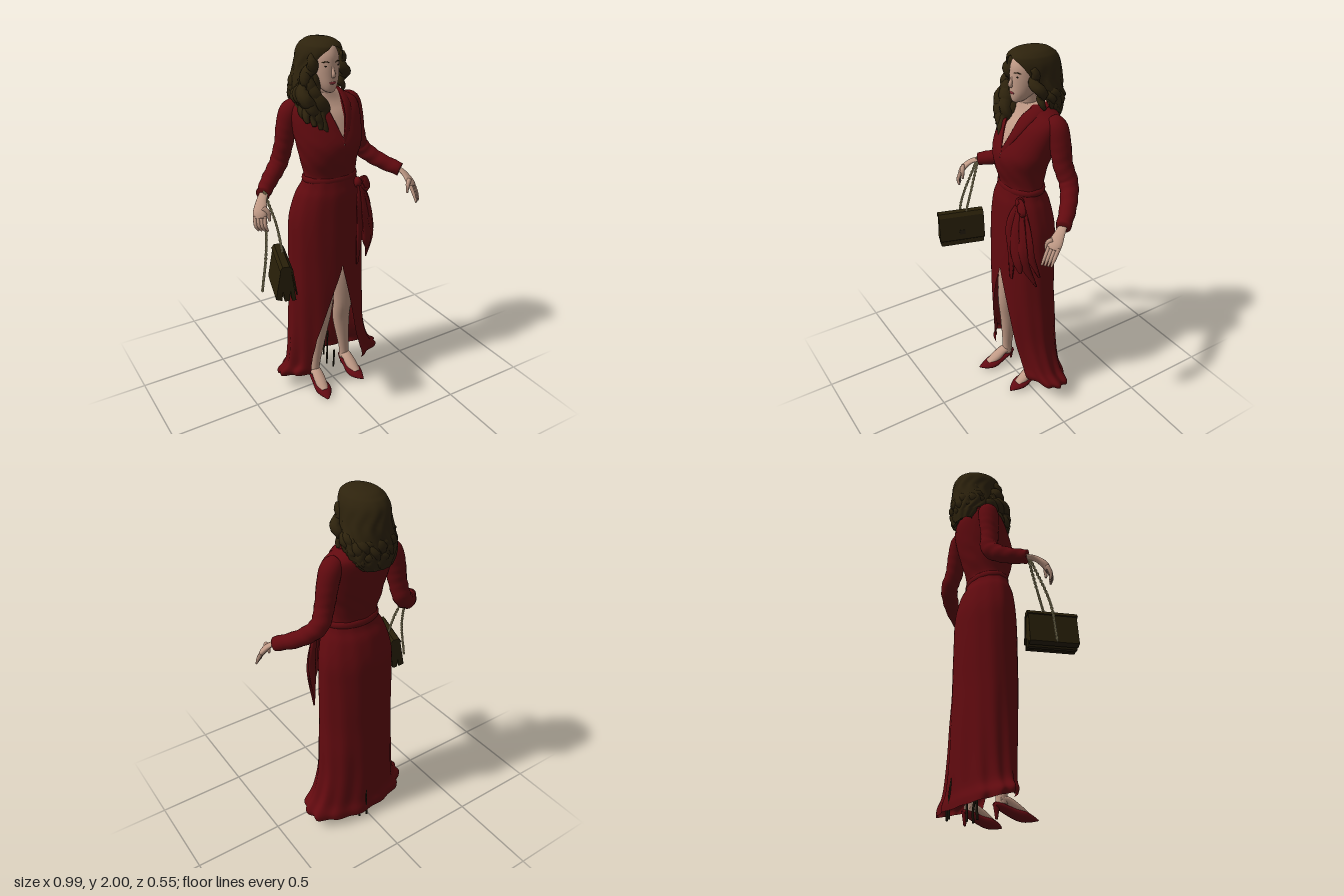
import * as THREE from 'three';
import { mergeGeometries } from 'three/addons/utils/BufferGeometryUtils.js';

const mat = (name, color, side = THREE.FrontSide) => {
  const m = new THREE.MeshStandardMaterial({ color, side });
  m.name = name;
  return m;
};
const V = (a) => new THREE.Vector3(a[0], a[1], a[2]);
const clamp = THREE.MathUtils.clamp;

// Smoothly resample a table of rows (trailing slit columns stay linear)
function sample(rows, t, smoothCols = 5) {
  const f = t * (rows.length - 1), i = Math.min(Math.floor(f), rows.length - 2), u = f - i;
  const at = (k) => rows[clamp(k, 0, rows.length - 1)];
  return rows[i].map((b, c) => {
    const d = rows[i + 1][c];
    if (c >= smoothCols) return b + (d - b) * u;
    const p = at(i - 1)[c], q = at(i + 2)[c];
    return 0.5 * (2 * b + (d - p) * u + (2 * p - 5 * b + 4 * d - q) * u * u + (3 * b - p - 3 * d + q) * u ** 3);
  });
}

// Skin a stack of rings; closed rings wrap around and get end caps
function loft(rings, closed = true) {
  const n = rings[0].length, pos = [], idx = [];
  rings.forEach((r) => r.forEach((p) => pos.push(p.x, p.y, p.z)));
  for (let i = 0; i < rings.length - 1; i++)
    for (let j = 0; j < (closed ? n : n - 1); j++) {
      const a = i * n + j, b = i * n + (j + 1) % n;
      idx.push(a, b, a + n, b, b + n, a + n);
    }
  if (closed) [0, rings.length - 1].forEach((i) => {
    const c = rings[i].reduce((s, p) => s.add(p), new THREE.Vector3()).divideScalar(n), k = pos.length / 3;
    pos.push(c.x, c.y, c.z);
    for (let j = 0; j < n; j++) {
      const a = i * n + j, b = i * n + (j + 1) % n;
      i ? idx.push(a, b, k) : idx.push(b, a, k);
    }
  });
  const g = new THREE.BufferGeometry();
  g.setAttribute('position', new THREE.Float32BufferAttribute(pos, 3));
  g.setIndex(idx);
  g.computeVertexNormals();
  return g;
}

// Elliptical shell, rows bottom to top: y, cx, cz, rx, rz, slit left x, slit right x
function shell(rows, { n = 64, steps = 40, wave = () => 0, lift = () => 0 } = {}) {
  const open = rows[0].length > 5, rings = [];
  for (let i = 0; i <= steps; i++) {
    const [y, cx, cz, rx, rz, xl, xr] = sample(rows, i / steps);
    const ang = (x) => Math.asin(clamp((x - cx) / rx, -1, 1));
    const a = open ? ang(xr) : 0, b = (open ? ang(xl) : 0) + Math.PI * 2, ring = [];
    for (let j = 0; j < (open ? n + 1 : n); j++) {
      const th = a + (b - a) * j / n, k = 1 + wave(th, y);
      ring.push(new THREE.Vector3(cx + rx * k * Math.sin(th), y + lift(th, y), cz + rz * k * Math.cos(th)));
    }
    rings.push(ring);
  }
  return loft(rings, !open);
}

// Tapered tube through [x, y, z, radius]; flat squashes it along ref
function limb(pts, { n = 14, steps = 20, flat = 1, ref = [0, 0, 1], wave = () => 0 } = {}) {
  const r = V(ref).normalize(), rings = [];
  for (let i = 0; i <= steps; i++) {
    const t = i / steps, c = sample(pts, t, 4);
    const tan = V(sample(pts, Math.min(1, t + 0.01), 4)).sub(V(sample(pts, Math.max(0, t - 0.01), 4))).normalize();
    const u = tan.clone().cross(r).normalize(), v = tan.clone().cross(u), ring = [];
    for (let j = 0; j < n; j++) {
      const a = j / n * Math.PI * 2, k = Math.max(c[3], 0.001) * (1 + wave(t, a));
      ring.push(V(c).addScaledVector(u, Math.cos(a) * k).addScaledVector(v, Math.sin(a) * k * flat));
    }
    rings.push(ring);
  }
  return loft(rings);
}

export function createModel() {
  const root = new THREE.Group();
  root.name = 'womanInWrapDress';
  const dress = mat('deep red cloth', 0x610a0f, THREE.DoubleSide), skin = mat('skin', 0xc09a86);
  const hair = mat('dark brown hair', 0x2e230d, THREE.DoubleSide), leather = mat('dark leather', 0x281f08);
  const metal = mat('pale gold', 0xb0a478), shoeRed = mat('shoe red', 0x620a12);
  const lipRed = mat('lip red', 0x823036), dark = mat('dark cord', 0x1f190c);
  const add = (name, geo, m) => {
    const mesh = new THREE.Mesh(geo, m);
    mesh.name = name;
    root.add(mesh);
    return mesh;
  };
  const ball = (name, m, p, s) => {
    const b = add(name, new THREE.SphereGeometry(1, 20, 14), m);
    b.position.set(...p);
    b.scale.set(...s);
  };

  // Skirt with front slit, folds deepening towards a flared hem that lifts at the front
  add('skirt', shell([
    [0.055, 0.015, -0.085, 0.322, 0.142, -0.17, 0.175], [0.09, 0.015, -0.08, 0.325, 0.145, -0.17, 0.175],
    [0.14, 0.01, -0.07, 0.28, 0.145, -0.168, 0.163], [0.22, 0, -0.065, 0.256, 0.148, -0.163, 0.14],
    [0.35, -0.01, -0.06, 0.238, 0.152, -0.143, 0.105], [0.5, -0.012, -0.055, 0.229, 0.155, -0.1, 0.075],
    [0.65, -0.015, -0.05, 0.222, 0.155, -0.055, 0.04], [0.8, -0.015, -0.05, 0.219, 0.155, 0, 0],
    [0.95, -0.015, -0.05, 0.217, 0.153, 0, 0], [1.08, -0.013, -0.05, 0.212, 0.148, 0, 0],
    [1.2, -0.008, -0.04, 0.185, 0.132, 0, 0], [1.26, -0.003, -0.032, 0.16, 0.112, 0, 0], [1.31, 0, -0.03, 0.144, 0.1, 0, 0]], {
    n: 110, steps: 66,
    wave: (a, y) => (0.006 + 0.05 * Math.max(0, 0.7 - y) ** 1.5) * (Math.sin(a * 13 + y * 3) + 0.6 * Math.sin(a * 7 - y * 5)),
    lift: (a, y) => (0.025 + 0.035 * Math.cos(a) - 0.03 * Math.max(0, Math.cos(a)) ** 6) * clamp((0.3 - y) / 0.25, 0, 1),
  }), dress);

  // Bodice with plunging neckline over the chest
  const bodice = [
    [1.26, 0, -0.032, 0.155, 0.107, 0.01, 0.01], [1.32, 0, -0.03, 0.146, 0.102, 0.01, 0.01],
    [1.4, -0.005, -0.03, 0.16, 0.125, 0.01, 0.01], [1.47, 0, -0.035, 0.177, 0.138, 0.01, 0.01],
    [1.53, 0, -0.05, 0.188, 0.137, 0.01, 0.012], [1.62, 0, -0.08, 0.198, 0.122, -0.03, 0.042],
    [1.67, 0, -0.1, 0.19, 0.102, -0.046, 0.052], [1.7, 0, -0.105, 0.145, 0.088, -0.052, 0.058],
    [1.735, -0.005, -0.1, 0.08, 0.07, -0.055, 0.06]];
  add('bodice', shell(bodice, { n: 90, wave: (a, y) => 0.009 * Math.sin(a * 9 + y * 60) * clamp((1.6 - y) * 5, 0, 1) }), dress);
  add('chest', shell(bodice.slice(3).map(([y, cx, cz, rx, rz]) => [y, cx, cz, rx * 0.93, rz * 0.95])), skin);
  for (const s of [-1, 1])
    add('lapel', limb([[0.01, 1.5, 0.098, 0.008], [s * 0.05 + 0.01, 1.6, 0.052, 0.022], [s * 0.08 + 0.003, 1.68, -0.005, 0.032],
      [s * 0.09, 1.725, -0.09, 0.026], [s * 0.05, 1.73, -0.165, 0.02]], { flat: 0.25, ref: [s * 0.4, 0.5, 0.8] }), dress);

  // Waist sash, small bow and hanging tails
  const sash = add('waistSash', new THREE.TorusGeometry(1, 0.14, 10, 48), dress);
  sash.rotation.x = Math.PI / 2;
  sash.position.set(0, 1.295, -0.032);
  sash.scale.set(0.137, 0.095, 0.16);
  ball('bowKnot', dress, [0.12, 1.255, 0.055], [0.022, 0.03, 0.025]);
  const ribbons = [
    [[0.12, 1.26, 0.06, 0.01], [0.15, 1.27, 0.068, 0.022], [0.17, 1.22, 0.075, 0.022], [0.13, 1.24, 0.065, 0.008]],
    [[0.12, 1.25, 0.065, 0.012], [0.1, 1.14, 0.102, 0.02], [0.11, 1.0, 0.1, 0.026], [0.1, 0.79, 0.095, 0.008]],
    [[0.13, 1.25, 0.065, 0.014], [0.14, 1.1, 0.095, 0.024], [0.16, 0.95, 0.095, 0.036], [0.17, 0.86, 0.085, 0.01]],
    [[0.135, 1.25, 0.06, 0.014], [0.175, 1.1, 0.075, 0.024], [0.185, 0.95, 0.08, 0.036], [0.215, 0.77, 0.01, 0.006]],
    [[0.14, 1.25, 0.055, 0.014], [0.185, 1.12, 0.05, 0.024], [0.2, 0.98, 0.045, 0.028], [0.22, 0.83, -0.005, 0.008]]];
  ribbons.forEach((p) => add('sashRibbon', limb(p, { flat: 0.4, ref: [0.4, 0, 1], wave: (t, a) => 0.15 * Math.sin(a * 5 + t * 8) }), dress));

  // Arms: sleeve, palm and fingers
  const arms = [
    { s: -1, sleeve: [[-0.14, 1.66, -0.115, 0.045], [-0.178, 1.64, -0.12, 0.055], [-0.2, 1.56, -0.125, 0.054], [-0.215, 1.47, -0.13, 0.049],
      [-0.243, 1.37, -0.14, 0.048], [-0.32, 1.305, -0.095, 0.043], [-0.4, 1.275, -0.01, 0.036]],
      palm: [[-0.39, 1.278, -0.015, 0.022], [-0.425, 1.26, 0.025, 0.026], [-0.452, 1.22, 0.062, 0.036], [-0.46, 1.19, 0.077, 0.032]],
      finger: [[-0.006, -0.032, 0.012], [0.008, -0.064, 0.012]] },
    { s: 1, sleeve: [[0.14, 1.66, -0.115, 0.045], [0.178, 1.64, -0.12, 0.055], [0.203, 1.56, -0.125, 0.054], [0.225, 1.46, -0.13, 0.05],
      [0.265, 1.37, -0.14, 0.048], [0.34, 1.3, -0.085, 0.043], [0.43, 1.25, 0.01, 0.037]],
      palm: [[0.42, 1.257, 0.003, 0.022], [0.44, 1.235, 0.035, 0.026], [0.455, 1.195, 0.072, 0.036], [0.46, 1.17, 0.088, 0.032]],
      finger: [[0.006, -0.035, 0.022], [0.008, -0.075, 0.042]] }];
  for (const { s, sleeve, palm, finger } of arms) {
    add('sleeve', limb(sleeve, { n: 20, steps: 48, ref: [0.3 * s, 0.2, 1], wave: (t, a) => 0.04 * Math.sin(t * 70 + Math.sin(a) * 3) * clamp(t * 2 - 0.4, 0, 1) }), dress);
    const k = V(palm[3]), spread = new THREE.Vector3(-0.8 * s, 0, 0.6);
    const n = k.clone().sub(V(palm[1])).cross(spread).toArray();
    add('palm', limb(palm, { flat: 0.45, ref: n }), skin);
    for (let i = 0; i < 4; i++) {
      const b = k.clone().addScaledVector(spread, (i - 1.5) * 0.016);
      const pt = (o, r) => [...b.clone().add(V(o)).toArray(), r];
      add('finger', limb([pt([0, 0.01, -0.005], 0.011), pt(finger[0], 0.0095), pt(finger[1], 0.005)], { n: 8, steps: 8, ref: n }), skin);
    }
    const h = V(palm[2]), th = (d, y, r) => [h.x + spread.x * d, h.y + y, h.z + spread.z * d, r];
    add('thumb', limb([th(0.015, 0.02, 0.013), th(0.04, -0.005, 0.012), th(0.045, -0.05, 0.006)], { n: 8, steps: 8, ref: n }), skin);
  }

  // Legs, feet and heeled shoes
  for (const s of [-1, 1]) {
    const dz = s > 0 ? -0.05 : 0, X = (x) => s * x;
    add('leg', limb([[X(0.075), 0.95, -0.04, 0.07], [X(0.058), 0.75, -0.005, 0.07], [X(0.073), 0.53, 0.015 + dz / 2, 0.053], [X(0.09), 0.37, -0.005 + dz, 0.05],
      [X(0.113), 0.15, -0.01 + dz, 0.03], [X(0.118), 0.07, -0.01 + dz, 0.03]], { steps: 28, n: 18 }), skin);
    add('foot', limb([[X(0.117), 0.09, -0.025 + dz, 0.028], [X(0.119), 0.088, 0.015 + dz, 0.031], [X(0.122), 0.054, 0.07 + dz, 0.034], [X(0.126), 0.025, 0.12 + dz, 0.025]],
      { flat: 0.75, ref: [0, 1, 0] }), skin);
    add('shoe', limb([[X(0.117), 0.07, -0.05 + dz, 0.018], [X(0.118), 0.062, -0.02 + dz, 0.031], [X(0.12), 0.04, 0.035 + dz, 0.038], [X(0.122), 0.024, 0.095 + dz, 0.047],
      [X(0.128), 0.016, 0.14 + dz, 0.032], [X(0.137), 0.009, 0.178 + dz, 0.005]], { flat: 0.55, ref: [0, 1, 0] }), shoeRed);
    const heel = add('shoeHeel', new THREE.CylinderGeometry(0.017, 0.006, 0.07, 12), shoeRed);
    heel.position.set(X(0.117), 0.035, -0.038 + dz);
  }
  // Dark cords hanging inside the skirt
  [[-0.04, -0.1, 0.25], [0.015, -0.22, 0.2], [0.03, -0.12, 0.25], [0.05, -0.075, 0.13], [0.06, -0.21, 0.16]].forEach(([x, z, h]) => {
    add('hangingCord', limb([[x, 0.005, z, 0.006], [x + 0.004, h / 2, z, 0.006], [x, h, z + 0.01, 0.006]], { n: 6, steps: 6 }), dark);
  });

  // Head, neck and face
  add('neck', limb([[0, 1.62, -0.1, 0.055], [-0.005, 1.7, -0.08, 0.045], [-0.01, 1.79, -0.065, 0.045]]), skin);
  add('head', shell([[1.738, -0.01, -0.01, 0.012, 0.014], [1.75, -0.01, -0.022, 0.032, 0.037], [1.78, -0.01, -0.043, 0.053, 0.064], [1.82, -0.01, -0.06, 0.067, 0.081],
    [1.87, -0.01, -0.07, 0.073, 0.09], [1.92, -0.01, -0.075, 0.071, 0.089], [1.96, -0.01, -0.08, 0.055, 0.07], [1.985, -0.01, -0.08, 0.02, 0.03]], { n: 32 }), skin);
  add('nose', limb([[-0.01, 1.878, 0.012, 0.005], [-0.01, 1.85, 0.021, 0.008], [-0.01, 1.83, 0.027, 0.011], [-0.01, 1.82, 0.016, 0.008]], { steps: 10 }), skin);
  ball('lips', lipRed, [-0.01, 1.79, 0.017], [0.019, 0.008, 0.007]);
  for (const s of [-1, 1]) {
    ball('eye', dark, [-0.01 + s * 0.03, 1.872, 0.008], [0.011, 0.004, 0.004]);
    add('eyebrow', limb([[-0.01 + s * 0.016, 1.889, 0.016, 0.002], [-0.01 + s * 0.032, 1.894, 0.01, 0.003], [-0.01 + s * 0.05, 1.888, -0.008, 0.002]], { n: 6, steps: 8, ref: [0, 1, 0] }), hair);
  }

  // Hair mass framing the face
  add('hairMass', shell([
    [1.63, -0.03, -0.2, 0.085, 0.045, -0.11, 0.05], [1.68, -0.025, -0.175, 0.125, 0.08, -0.15, 0.1], [1.75, -0.02, -0.145, 0.14, 0.115, -0.155, 0.115],
    [1.85, -0.015, -0.125, 0.12, 0.132, -0.105, 0.085], [1.92, -0.015, -0.11, 0.112, 0.138, -0.075, 0.06], [1.955, -0.015, -0.1, 0.1, 0.13, -0.035, 0.025],
    [1.972, -0.015, -0.095, 0.087, 0.115, -0.015, -0.015], [1.99, -0.015, -0.095, 0.058, 0.08, -0.015, -0.015], [2.0, -0.015, -0.095, 0.0002, 0.0002, -0.015, -0.015]],
    { n: 90, wave: (a, y) => 0.035 * Math.sin(a * 12 + Math.sin(y * 35) * 2) * clamp((1.98 - y) * 5, 0, 1) }), hair);
  // Wavy locks: one bundle over the right shoulder, the rest round the back
  const lock = (a, b, r, ph) => {
    const pts = [];
    for (let i = 0; i <= 8; i++) {
      const t = i / 8, w = 0.016 * Math.sin(t * Math.PI);
      const p = V(a).lerp(V(b), t);
      pts.push([p.x + w * Math.sin(t * 13 + ph), p.y, p.z + w * Math.cos(t * 13 + ph), r * (0.35 + 1.1 * Math.sin(Math.PI * Math.min(1, t * 0.85 + 0.12)))]);
    }
    add('hairLock', limb(pts, { n: 8, steps: 24, ref: [0.2, 0.1, 1], wave: (t, q) => 0.12 * Math.sin(q * 3 + t * 14) }), hair);
  };
  for (let i = 0; i < 12; i++) {
    const u = i % 4, v = Math.floor(i / 4);
    lock([-0.09 - u * 0.015, 1.84 - v * 0.03, -0.05 - v * 0.025], [-0.065 - u * 0.03, 1.555 + u * 0.018 + v * 0.015, 0.055 - v * 0.04 - u * 0.01], 0.023, i * 1.7);
  }
  for (let i = 0; i < 15; i++) {
    const a = 1.5 + i / 14 * 3.2, sx = Math.sin(a), cz = Math.cos(a);
    lock([-0.015 + 0.092 * sx, 1.88 - (i % 3) * 0.03, -0.12 + 0.106 * cz],
      [-0.02 + 0.125 * sx, 1.7 - 0.07 * Math.max(0, -cz) + (i % 3) * 0.015, -0.15 + 0.09 * cz], 0.018, i * 2.3);
  }
  lock([0.08, 1.92, -0.04], [0.115, 1.72, -0.09], 0.019, 1);
  lock([-0.085, 1.93, -0.03], [-0.15, 1.74, -0.04], 0.022, 3);

  // Handbag: pleated wedge body, flap and clasp
  const bag = new THREE.Group();
  bag.name = 'handbag';
  const part = (name, pts, len, z) => {
    const g = new THREE.ExtrudeGeometry(new THREE.Shape(pts.map((p) => new THREE.Vector2(...p))), { depth: len, bevelEnabled: false });
    const m = new THREE.Mesh(g.translate(0, 0, z), leather);
    m.name = name;
    bag.add(m);
  };
  part('bagBody', [[-0.055, 0.015], [-0.025, 0.005], [-0.018, 0.06], [-0.012, 0], [0.012, 0], [0.018, 0.06], [0.025, 0], [0.046, 0], [0.024, 0.18], [-0.026, 0.18]], 0.25, -0.125);
  part('bagFlap', [[0.048, 0.03], [0.053, 0.035], [0.033, 0.175], [0.016, 0.195], [-0.018, 0.195], [-0.032, 0.175], [-0.025, 0.17], [0.025, 0.17]], 0.26, -0.13);
  const clasp = new THREE.Mesh(new THREE.BoxGeometry(0.008, 0.026, 0.034), dark);
  clasp.name = 'bagClasp';
  clasp.position.set(0.045, 0.08, 0);
  clasp.rotation.z = 0.15;
  bag.add(clasp);
  bag.position.set(-0.38, 0.797, 0.135);
  bag.rotation.y = -0.3;
  root.add(bag);

  // Chain strap: alternating links along each strand
  [[[-0.4, 1.25, 0.015], [-0.442, 1.02, 0.09], [-0.478, 0.8, 0.1]],
    [[-0.388, 1.25, 0.01], [-0.367, 1.13, 0.06], [-0.36, 0.98, 0.11]],
    [[-0.4, 1.25, 0.015], [-0.395, 1.29, 0.0], [-0.388, 1.25, 0.01]]].forEach((p) => {
    const c = new THREE.CatmullRomCurve3(p.map(V)), count = Math.ceil(c.getLength() / 0.011), links = [];
    for (let i = 0; i <= count; i++) {
      const q = new THREE.Quaternion().setFromUnitVectors(new THREE.Vector3(0, 1, 0), c.getTangentAt(i / count));
      const pt = c.getPointAt(i / count);
      links.push(new THREE.TorusGeometry(0.005, 0.0035, 6, 10).scale(1, 1.4, 1).rotateY(i % 2 * Math.PI / 2).applyQuaternion(q).translate(pt.x, pt.y, pt.z));
    }
    add('chainStrap', mergeGeometries(links), metal);
  });
  return root;
}
